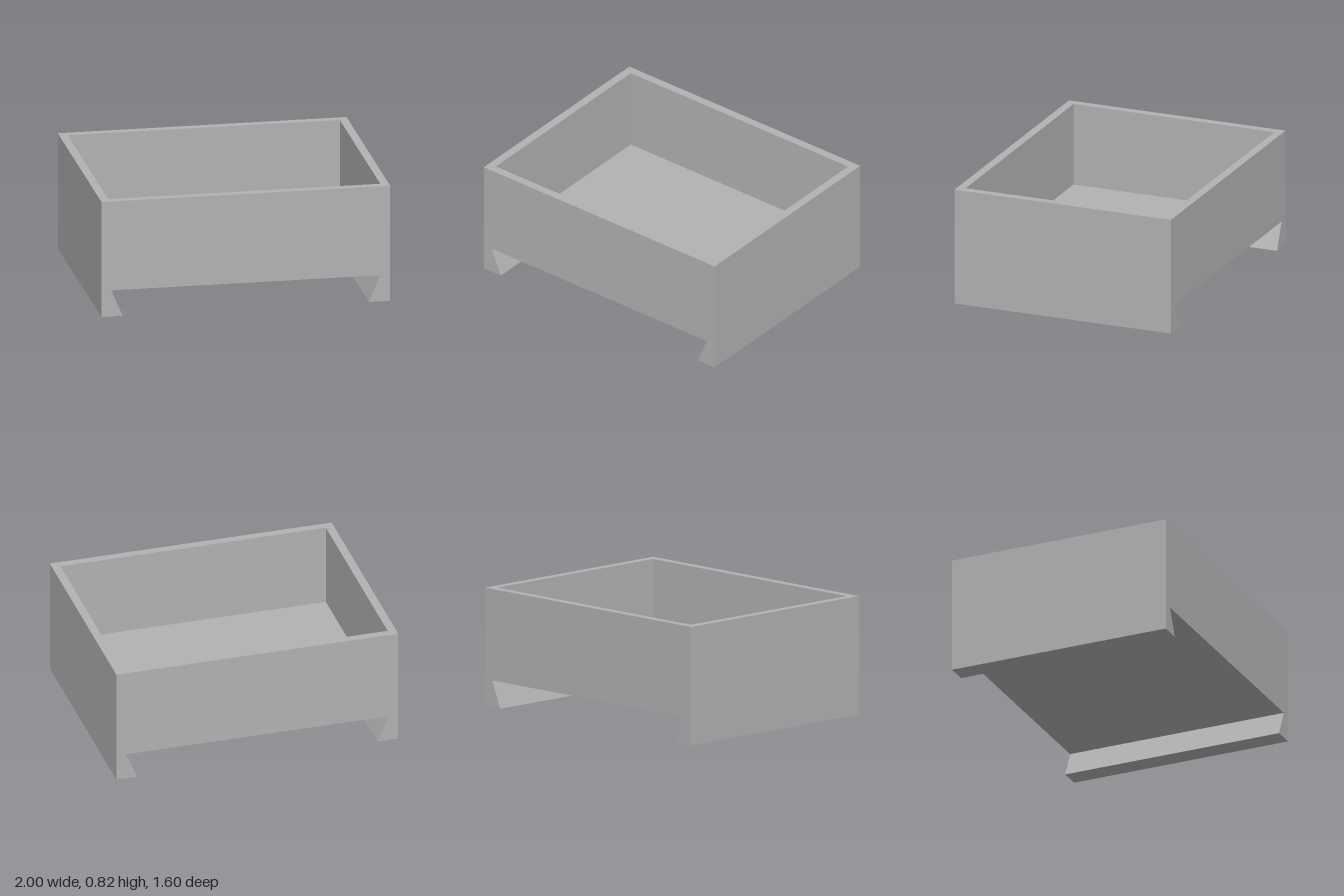
import * as THREE from 'three';

const W = 1, D = 0.8, H = 0.82;      // half width, half depth, height
const WALL = 0.058, FLOOR = 0.24;    // wall thickness, height of the tray floor
const SLOT = 0.186;                  // height of the dovetail slot

const points = (list) => list.map(([x, y]) => new THREE.Vector2(x, y));
const rectangle = (w, d) => points([[-w, -d], [w, -d], [w, d], [-w, d]]);

export function createModel() {
  const group = new THREE.Group();
  group.name = 'slidingTray';
  const grey = new THREE.MeshStandardMaterial({ color: 0xb2b2b2 });
  grey.name = 'grey';

  const add = (name, shape, depth) => {
    const geometry = new THREE.ExtrudeGeometry(shape, { depth, bevelEnabled: false });
    const mesh = new THREE.Mesh(geometry, grey);
    mesh.name = name;
    group.add(mesh);
    return mesh;
  };

  // Floor with the two undercut rails, one profile run from back to front
  const profile = new THREE.Shape(points([
    [-W, 0], [-0.853, 0], [-0.932, SLOT], [0.932, SLOT],
    [0.853, 0], [W, 0], [W, FLOOR], [-W, FLOOR],
  ]));
  add('floorAndRails', profile, 2 * D).position.z = -D;

  // Rectangular ring of walls standing on the floor
  const ring = new THREE.Shape(rectangle(W, D));
  ring.holes.push(new THREE.Path(rectangle(W - WALL, D - WALL).reverse()));
  const walls = add('walls', ring, H - FLOOR);
  walls.rotation.x = -Math.PI / 2;
  walls.position.y = FLOOR;

  return group;
}
